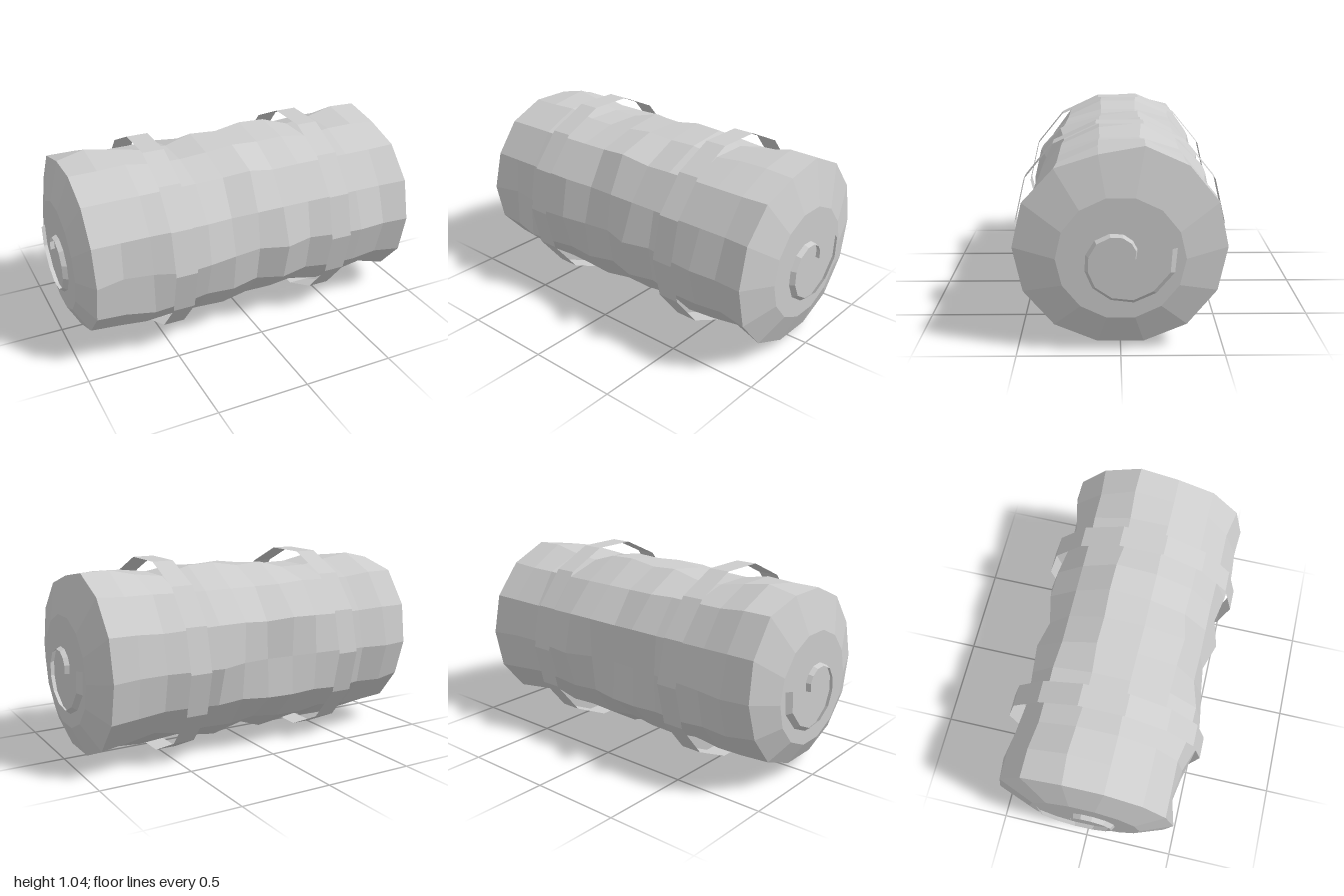
import * as THREE from 'three';

const SIDES = 14, AXIS_Y = 0.52, SQUASH = 0.974, CAP_Y = 0.482, CAP_X = 0.975;
const paleGrey = new THREE.MeshStandardMaterial({ color: 0xcccccc, side: THREE.DoubleSide });
paleGrey.name = 'paleGrey';

// Point on the squashed 14-sided outline
function rimPoint(x, r, k, cy = AXIS_Y) {
  const a = (k / SIDES) * Math.PI * 2;
  return new THREE.Vector3(x, cy + Math.sin(a) * r * SQUASH, Math.cos(a) * r);
}

// Repeatable unevenness, 0..1
function hash(i, k) {
  const s = Math.sin(i * 127.1 + k * 311.7) * 43758.5453;
  return s - Math.floor(s);
}

// Radii along the length for the main ridges, counted from the front upwards
const ridges = {
  0: [0.48, 0.44, 0.465, 0.52, 0.505, 0.48, 0.46, 0.51, 0.47, 0.5, 0.515, 0.505, 0.515],
  1: [0.475, 0.475, 0.475, 0.51, 0.515, 0.47, 0.475, 0.475, 0.475, 0.48, 0.48, 0.48, 0.515],
  2: [0.485, 0.49, 0.49, 0.495, 0.5, 0.507, 0.526, 0.48, 0.49, 0.49, 0.49, 0.49, 0.5],
  4: [0.48, 0.516, 0.49, 0.46, 0.458, 0.5, 0.49, 0.516, 0.51, 0.46, 0.48, 0.516, 0.511],
  5: [0.525, 0.525, 0.5, 0.5, 0.505, 0.49, 0.49, 0.49, 0.49, 0.49, 0.5, 0.5, 0.515],
  7: [0.485, 0.51, 0.485, 0.47, 0.46, 0.45, 0.44, 0.455, 0.51, 0.49, 0.47, 0.475, 0.51],
  10: [0.463, 0.458, 0.505, 0.5, 0.442, 0.516, 0.463, 0.516, 0.495, 0.46, 0.495, 0.484, 0.505],
  13: [0.485, 0.495, 0.525, 0.515, 0.495, 0.505, 0.475, 0.51, 0.485, 0.51, 0.51, 0.495, 0.52],
};

function bodyRadius(i, k) {
  if (ridges[k]) return ridges[k][i];
  const r = i === 12 ? 0.515 : 0.465 + 0.05 * hash(i, k);
  if (k === 3) return i === 12 ? 0.47 : Math.min(r, ridges[4][i]);
  if (k === 11) return Math.min(r, ridges[10][i]);
  return r;
}

// Collects flat polygons, one normal to each
function facetBuilder() {
  const positions = [], normals = [];
  const push = (n, ...points) => points.forEach((p) => {
    positions.push(p.x, p.y, p.z);
    normals.push(n.x, n.y, n.z);
  });
  const across = (a, b) => new THREE.Vector3().crossVectors(a, b).normalize();
  return {
    quad(a, b, c, d) {
      const n = across(c.clone().sub(a), d.clone().sub(b));
      push(n, a, b, c, a, c, d);
    },
    triangle(a, b, c) {
      push(across(b.clone().sub(a), c.clone().sub(a)), a, b, c);
    },
    build() {
      const g = new THREE.BufferGeometry();
      g.setAttribute('position', new THREE.Float32BufferAttribute(positions, 3));
      g.setAttribute('normal', new THREE.Float32BufferAttribute(normals, 3));
      return g;
    },
  };
}

// Lumpy roll with bevelled ends
function createBody() {
  const ring = (fn) => Array.from({ length: SIDES }, (_, k) => fn(k));
  const rings = [ring((k) => rimPoint(-CAP_X, 0.308, k, CAP_Y))];
  for (let i = 0; i <= 12; i++) {
    const x = -0.912 + i * 0.152;
    rings.push(ring((k) => rimPoint(x, bodyRadius(i, k), k)));
  }
  rings.push(ring((k) => rimPoint(CAP_X, 0.308, k, CAP_Y)));

  const facets = facetBuilder();
  const last = rings.length - 1;
  const rightCentre = new THREE.Vector3(-CAP_X, CAP_Y, 0);
  const leftCentre = new THREE.Vector3(CAP_X, CAP_Y, 0);
  for (let k = 0; k < SIDES; k++) {
    const n = (k + 1) % SIDES;
    for (let i = 0; i < last; i++) {
      facets.quad(rings[i][k], rings[i + 1][k], rings[i + 1][n], rings[i][n]);
    }
    facets.triangle(rightCentre, rings[0][k], rings[0][n]);
    facets.triangle(leftCentre, rings[last][n], rings[last][k]);
  }
  return facets.build();
}

// Thin open strap standing proud of the roll
function createBand(x) {
  const facets = facetBuilder();
  const point = (dx, k) => rimPoint(x + dx, 0.545, k, 0.5205);
  for (let k = 0; k < SIDES; k++) {
    facets.quad(point(-0.059, k), point(0.059, k), point(0.059, k + 1), point(-0.059, k + 1));
  }
  return facets.build();
}

// Centre line of the end spiral: [z, y], inner end first
const spiralPath = [
  [-0.07, 0.485], [-0.074, 0.53], [-0.053, 0.568], [-0.01, 0.597], [0.05, 0.6],
  [0.118, 0.567], [0.158, 0.5], [0.162, 0.425], [0.128, 0.345], [0.045, 0.288],
  [-0.06, 0.276], [-0.16, 0.322], [-0.243, 0.42], [-0.252, 0.538],
];

// Tapered ribbon on one end, sloping from its raised inner edge down to the cap
function createSpiral(side) {
  const facets = facetBuilder();
  const last = spiralPath.length - 1;
  const edges = spiralPath.map(([z, y], i) => {
    const a = spiralPath[Math.max(i - 1, 0)], b = spiralPath[Math.min(i + 1, last)];
    const dz = b[0] - a[0], dy = b[1] - a[1], len = Math.hypot(dz, dy);
    const w = 0.003 + (0.01 * i) / last;
    const oz = (-dy / len) * w, oy = (dz / len) * w;
    return {
      inner: new THREE.Vector3(side, y - oy, z - oz),
      outer: new THREE.Vector3(side * CAP_X, y + oy, z + oz),
    };
  });
  for (let i = 0; i < last; i++) {
    const a = edges[i], b = edges[i + 1];
    if (side > 0) facets.quad(a.inner, a.outer, b.outer, b.inner);
    else facets.quad(a.inner, b.inner, b.outer, a.outer);
  }
  return facets.build();
}

export function createModel() {
  const model = new THREE.Group();
  model.name = 'roundBale';
  const add = (name, geometry) => {
    const mesh = new THREE.Mesh(geometry, paleGrey);
    mesh.name = name;
    model.add(mesh);
  };
  add('baleBody', createBody());
  for (const side of [-1, 1]) {
    const label = side > 0 ? 'left' : 'right';
    add(label + 'Band', createBand(side * 0.458));
    add(label + 'EndSpiral', createSpiral(side));
  }
  return model;
}
